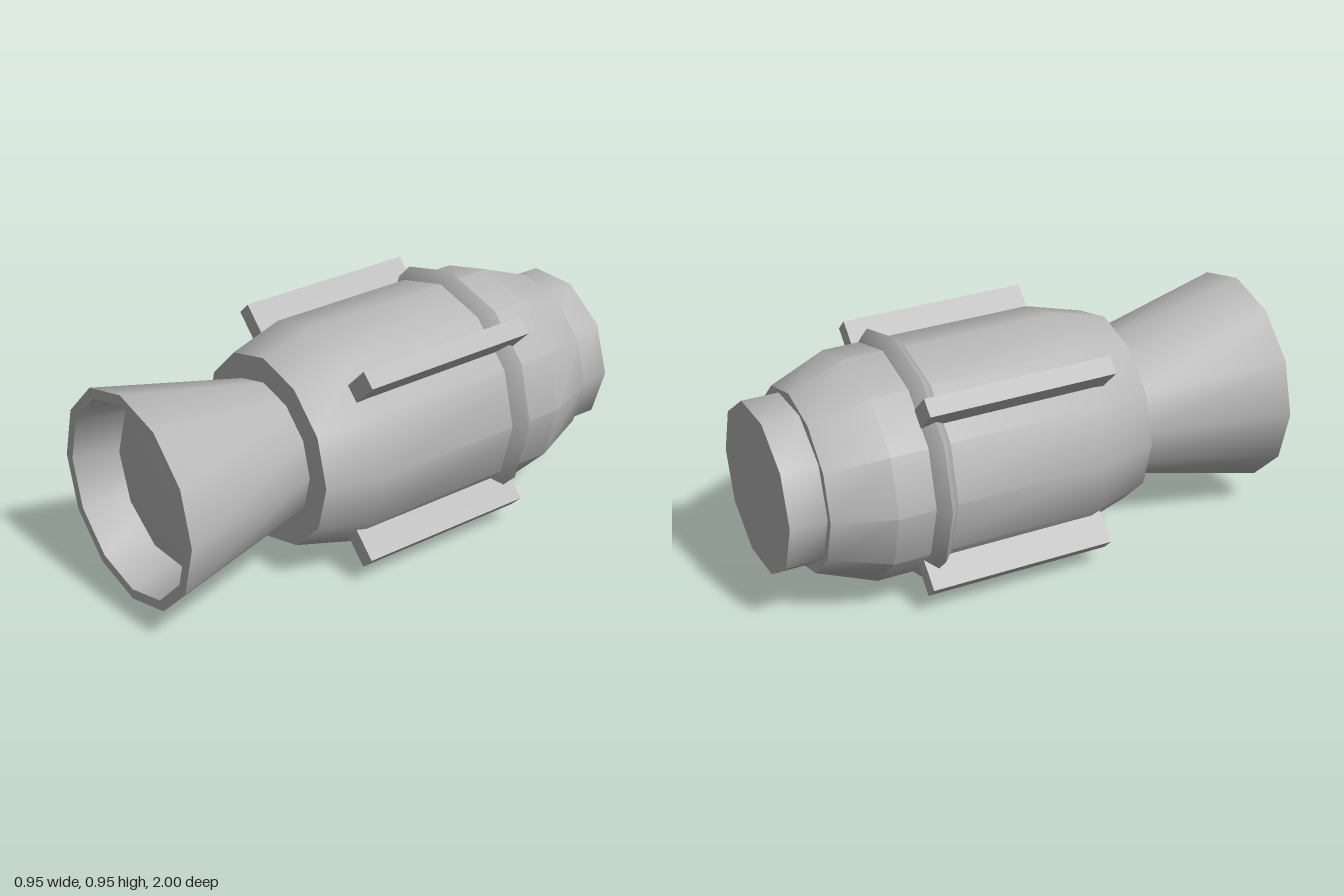
import * as THREE from 'three';
import { toCreasedNormals } from 'three/addons/utils/BufferGeometryUtils.js';

const AXIS_Y = 0.473;

export function createModel() {
  const model = new THREE.Group();
  model.name = 'rocketEngine';
  const core = new THREE.Group();
  core.name = 'engineCore';
  core.position.y = AXIS_Y;
  model.add(core);

  const metal = new THREE.MeshStandardMaterial({ color: 0xb8b8b8 });
  metal.name = 'grey metal';

  // Turned part along z; profile is [radius, z], running back to front on the outside
  function turned(name, profile, sides, crease = 0.62) {
    const points = profile.map(([r, z]) => new THREE.Vector2(r, z));
    const lathe = new THREE.LatheGeometry(points, sides, Math.PI / 2);
    lathe.rotateX(Math.PI / 2);
    const mesh = new THREE.Mesh(toCreasedNormals(lathe, crease), metal);
    mesh.name = name;
    core.add(mesh);
  }

  // Main casing with tapered ends
  turned('casing', [
    [0, -0.86], [0.345, -0.86], [0.43, -0.64], [0.43, 0.19], [0.37, 0.41], [0, 0.41],
  ], 12);

  // Rear plug
  turned('rearPlug', [[0, -1], [0.32, -1], [0.32, -0.84], [0, -0.84]], 10, 0.7);

  // Pointed collar around the casing
  turned('collar', [[0.42, -0.5], [0.43, -0.497], [0.473, -0.455], [0.43, -0.413], [0.42, -0.41]], 12, 0.62);

  // Flared nozzle with a thick lip and hollow inside
  turned('nozzle', [
    [0.27, 0.4], [0.41, 1], [0.37, 1], [0.29, 0.65], [0, 0.65],
  ], 12);

  // Shallow plate recessed in the nozzle
  turned('nozzlePlate', [[0.27, 0.68], [0.31, 0.84], [0, 0.875]], 10);

  // Four diagonal rails
  const railShape = new THREE.BoxGeometry(0.15, 0.07, 0.73);
  for (let i = 0; i < 4; i++) {
    const angle = Math.PI / 4 + (i * Math.PI) / 2;
    const rail = new THREE.Mesh(railShape, metal);
    rail.name = 'rail' + (i + 1);
    rail.position.set(Math.cos(angle) * 0.456, Math.sin(angle) * 0.456, -0.135);
    rail.rotation.z = angle;
    core.add(rail);
  }

  return model;
}
